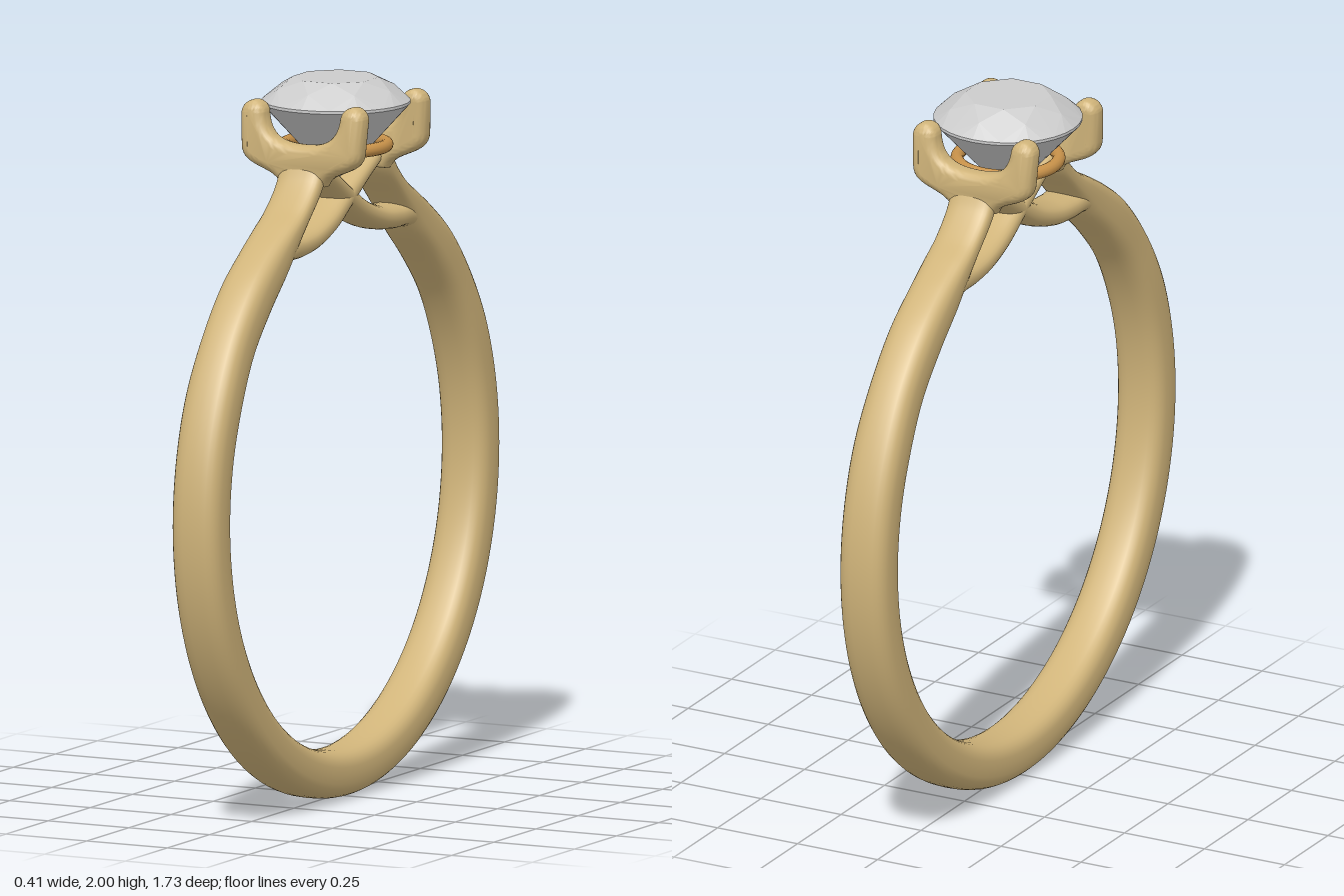
import * as THREE from 'three';
import { toCreasedNormals } from 'three/addons/utils/BufferGeometryUtils.js';
import { ConvexGeometry } from 'three/addons/geometries/ConvexGeometry.js';

const gold = new THREE.MeshStandardMaterial({ color: 0xd0b47a });
const amber = new THREE.MeshStandardMaterial({ color: 0xc8924a });
const grey = new THREE.MeshStandardMaterial({ color: 0xcccccc, flatShading: true });

// Sweep a rounded section along a path in the yz plane.
// Each stop is [z, y, half thickness, half width in x].
function sweep(stops, steps, power) {
  const path = new THREE.CatmullRomCurve3(stops.map(([z, y]) => new THREE.Vector3(0, y, z)));
  const size = new THREE.CatmullRomCurve3(
    stops.map(([, , t, w], i) => new THREE.Vector3(t, w, i)), false, 'catmullrom', 0.5);
  const sides = 28, pos = [], index = [];
  const soft = v => Math.sign(v) * Math.abs(v) ** (2 / power);
  for (let i = -1; i <= steps + 1; i++) {
    const u = THREE.MathUtils.clamp(i / steps, 0, 1);
    const p = path.getPoint(u), d = path.getTangent(u), s = size.getPoint(u);
    const k = i < 0 || i > steps ? 0 : 1; // collapsed rings close the ends
    for (let j = 0; j < sides; j++) {
      const a = (j / sides) * Math.PI * 2;
      const n = k * s.x * soft(Math.cos(a)), x = k * s.y * soft(Math.sin(a));
      pos.push(x, p.y - d.z * n, p.z + d.y * n);
    }
  }
  for (let i = 0; i < steps + 2; i++) {
    for (let j = 0; j < sides; j++) {
      const a = i * sides + j, b = i * sides + (j + 1) % sides;
      index.push(a, b, b + sides, a, b + sides, a + sides);
    }
  }
  const g = new THREE.BufferGeometry();
  g.setAttribute('position', new THREE.Float32BufferAttribute(pos, 3));
  g.setIndex(index);
  g.computeVertexNormals();
  return g;
}

// Band: a circle whose upper ends straighten and thin towards the head
function bandGeometry() {
  const half = [
    [0.185, 1.78, 0.03, 0.07], [0.22, 1.722, 0.029, 0.068],
    [0.29, 1.655, 0.031, 0.067], [0.36, 1.6, 0.045, 0.068], [0.43, 1.542, 0.06, 0.069],
  ];
  for (let deg = 42; deg < 180; deg += 11.5) {
    const a = THREE.MathUtils.degToRad(deg);
    half.push([0.798 * Math.sin(a), 0.865 + 0.798 * Math.cos(a), 0.067,
      deg < 60 ? 0.071 : 0.075]);
  }
  const other = half.map(([z, ...rest]) => [-z, ...rest]).reverse();
  return sweep([...half, [0, 0.067, 0.067, 0.075], ...other], 200, 2.8);
}

// Cup-shaped plate ending in two prongs
function forkGeometry() {
  const s = new THREE.Shape();
  s.moveTo(-0.068, 1.725);
  s.lineTo(0.068, 1.725);
  s.bezierCurveTo(0.085, 1.775, 0.185, 1.76, 0.185, 1.83);
  s.lineTo(0.19, 1.915);
  s.absarc(0.153, 1.915, 0.037, 0, Math.PI, false);
  s.bezierCurveTo(0.108, 1.86, 0.075, 1.838, 0, 1.838);
  s.bezierCurveTo(-0.075, 1.838, -0.108, 1.86, -0.116, 1.915);
  s.absarc(-0.153, 1.915, 0.037, 0, Math.PI, false);
  s.lineTo(-0.185, 1.83);
  s.bezierCurveTo(-0.185, 1.76, -0.085, 1.775, -0.068, 1.725);
  const g = new THREE.ExtrudeGeometry(s, {
    depth: 0.016, curveSegments: 14, bevelEnabled: true, bevelSegments: 6,
    bevelSize: 0.027, bevelThickness: 0.027, bevelOffset: -0.027,
  });
  g.translate(0, 0, 0.182);
  // Prongs lean in over the stone, the foot tucks into the band
  const p = g.attributes.position;
  for (let i = 0; i < p.count; i++) {
    const y = p.getY(i);
    p.setZ(i, p.getZ(i) - Math.max(0, y - 1.84) * 0.1 - Math.max(0, 1.8 - y) * 0.1);
  }
  return toCreasedNormals(g, 0.9);
}

// Brilliant cut: hull of rings [radius, y, corners, turn in degrees]
function stoneGeometry() {
  const pts = [new THREE.Vector3(0, 1.71, 0)];
  const rings = [
    [0.118, 2, 8, 22.5], [0.167, 1.972, 8, 0], [0.205, 1.936, 32, 0],
    [0.205, 1.928, 32, 0], [0.06, 1.768, 8, 22.5],
  ];
  for (const [r, y, n, turn] of rings) {
    for (let i = 0; i < n; i++) {
      const a = (i / n) * Math.PI * 2 + THREE.MathUtils.degToRad(turn);
      pts.push(new THREE.Vector3(r * Math.cos(a), y, r * Math.sin(a)));
    }
  }
  return new ConvexGeometry(pts);
}

export function createModel() {
  const model = new THREE.Group();
  const add = (name, geometry, material) => {
    const mesh = new THREE.Mesh(geometry, material);
    mesh.name = name;
    model.add(mesh);
    return mesh;
  };

  add('band', bandGeometry(), gold);

  // Lower strands cross under the stone to the opposite fork
  const strand = sweep([
    [0.43, 1.535, 0.03, 0.06], [0.36, 1.568, 0.036, 0.063], [0.28, 1.571, 0.035, 0.063],
    [0.2, 1.581, 0.034, 0.062], [0.1, 1.614, 0.033, 0.06], [0, 1.67, 0.032, 0.058],
    [-0.09, 1.725, 0.029, 0.06], [-0.18, 1.775, 0.027, 0.062],
  ], 60, 2.4);
  const fork = forkGeometry();
  ['front', 'back'].forEach((end, i) => {
    add(end + 'CrossStrand', strand, gold).rotation.y = i * Math.PI;
    add(end + 'ProngFork', fork, gold).rotation.y = i * Math.PI;
  });

  // Thin rail below the stone
  const rail = add('galleryRail', new THREE.TorusGeometry(0.14, 0.018, 14, 64), amber);
  rail.rotation.x = Math.PI / 2;
  rail.position.y = 1.812;

  add('stone', stoneGeometry(), grey);
  return model;
}
